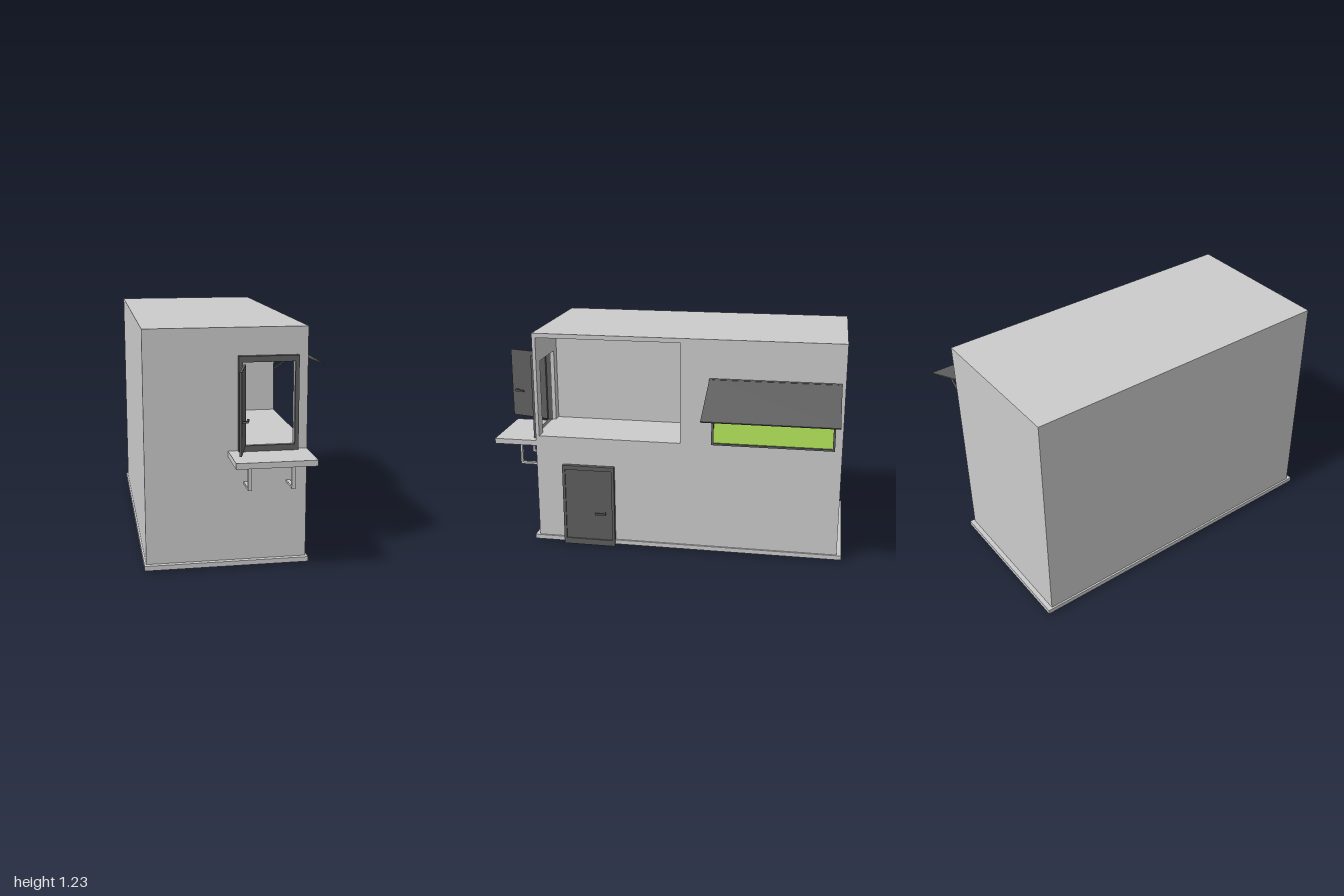
import * as THREE from 'three';

const wall = new THREE.MeshStandardMaterial({ color: 0xcccccc });
const dark = new THREE.MeshStandardMaterial({ color: 0x5f5f5f });
const green = new THREE.MeshStandardMaterial({ color: 0xb7ea5d });

function add(parent, name, geometry, material) {
  const mesh = new THREE.Mesh(geometry, material);
  mesh.name = name;
  parent.add(mesh);
  return mesh;
}

// Box given by its limits on each axis
function box(parent, name, material, [x0, x1], [y0, y1], [z0, z1]) {
  const mesh = add(parent, name, new THREE.BoxGeometry(x1 - x0, y1 - y0, z1 - z0), material);
  mesh.position.set((x0 + x1) / 2, (y0 + y1) / 2, (z0 + z1) / 2);
  return mesh;
}

// Upright rectangle with a rectangular opening, extruded along +z
function framed([x0, x1], [y0, y1], [hx0, hx1], [hy0, hy1], depth) {
  const rect = (a, b, c, d) => [[a, c], [b, c], [b, d], [a, d]].map(p => new THREE.Vector2(...p));
  const shape = new THREE.Shape(rect(x0, x1, y0, y1));
  shape.holes.push(new THREE.Path(rect(hx0, hx1, hy0, hy1).reverse()));
  return new THREE.ExtrudeGeometry(shape, { depth, bevelEnabled: false });
}

// Thin bar in the xy plane from a to b, spanning z0..z1
function bar(parent, name, a, b, thickness, [z0, z1]) {
  const dx = b[0] - a[0], dy = b[1] - a[1];
  const geometry = new THREE.BoxGeometry(Math.hypot(dx, dy), thickness, z1 - z0);
  const mesh = add(parent, name, geometry, dark);
  mesh.position.set((a[0] + b[0]) / 2, (a[1] + b[1]) / 2, (z0 + z1) / 2);
  mesh.rotation.z = Math.atan2(dy, dx);
  return mesh;
}

// L-shaped lever: stem along +x, grip along z in the given direction
function handle(parent, x, y, z, dir) {
  const group = new THREE.Group();
  group.name = 'handle';
  group.position.set(x, y, z);
  box(group, 'handleStem', dark, [0, 0.03], [-0.005, 0.005], [-0.005, 0.005]);
  const grip = box(group, 'handleGrip', dark, [0.02, 0.03], [-0.005, 0.005], [0, 0.055]);
  grip.position.z *= dir;
  parent.add(group);
}

export function createModel() {
  const model = new THREE.Group();
  model.name = 'kiosk';

  // Base plate
  box(model, 'basePlate', wall, [-0.595, 0.25], [0.01, 0.035], [-1, 0.765]);

  // Body: solid rear, middle section with the open recess, thin front wall
  box(model, 'rearBody', wall, [-0.585, 0.24], [0.035, 1.23], [-0.975, -0.09]);
  const section = new THREE.Shape([
    [-0.585, 0.035], [0.24, 0.035], [0.24, 0.64], [-0.15, 0.64],
    [-0.15, 1.205], [0.24, 1.205], [0.24, 1.23], [-0.585, 1.23],
  ].map(p => new THREE.Vector2(...p)));
  const middle = new THREE.ExtrudeGeometry(section, { depth: 0.81, bevelEnabled: false });
  add(model, 'recessBody', middle, wall).position.z = -0.09;
  const front = framed([-0.585, 0.24], [0.035, 1.23], [-0.095, 0.17], [0.64, 1.06], 0.02);
  add(model, 'frontWall', front, wall).position.z = 0.72;

  // Serving window frame
  const windowFrame = framed([-0.115, 0.19], [0.61, 1.09], [-0.095, 0.17], [0.64, 1.06], 0.028);
  add(model, 'servingWindowFrame', windowFrame, dark).position.z = 0.74;

  // Open window shutter, hinged on the frame
  const shutter = new THREE.Group();
  shutter.name = 'windowShutter';
  shutter.position.set(-0.085, 0, 0.768);
  shutter.rotation.y = -0.26;
  box(shutter, 'shutterPanel', dark, [-0.006, 0.006], [0.645, 1.05], [0, 0.237]);
  handle(shutter, 0.004, 0.805, 0.2, -1);
  model.add(shutter);

  // Counter shelf on two L brackets
  box(model, 'counterShelf', wall, [-0.165, 0.238], [0.58, 0.61], [0.74, 0.985]);
  for (const x of [-0.075, 0.145]) {
    const width = [x - 0.01, x + 0.01];
    box(model, 'bracketPost', wall, width, [0.435, 0.58], [0.853, 0.865]);
    box(model, 'bracketArm', wall, width, [0.435, 0.447], [0.74, 0.853]);
  }

  // Side door: frame, slightly sunk panel and handle
  const door = new THREE.Group();
  door.name = 'sideDoor';
  const doorFrame = framed([-0.585, -0.285], [0, 0.48], [-0.57, -0.3], [0.035, 0.455], 0.025);
  const doorRim = add(door, 'doorFrame', doorFrame, dark);
  doorRim.rotation.y = Math.PI / 2;
  doorRim.position.x = 0.24;
  box(door, 'doorPanel', dark, [0.24, 0.257], [0.035, 0.455], [0.3, 0.57]);
  handle(door, 0.255, 0.2, 0.34, 1);
  model.add(door);

  // Side window: frame, coloured pane, raised awning and its struts
  const sideFrame = framed([0.265, 0.935], [0.645, 1.015], [0.277, 0.923], [0.655, 1.003], 0.016);
  const rim = add(model, 'sideWindowFrame', sideFrame, dark);
  rim.rotation.y = Math.PI / 2;
  rim.position.x = 0.24;
  box(model, 'sideWindowPane', green, [0.238, 0.244], [0.65, 1.01], [-0.928, -0.272]);
  bar(model, 'awning', [0.243, 1.015], [0.588, 0.875], 0.007, [-0.955, -0.25]);
  for (const z of [-0.27, -0.93]) {
    bar(model, 'awningStrut', [0.25, 0.835], [0.41, 0.945], 0.008, [z - 0.005, z + 0.005]);
  }

  return model;
}
